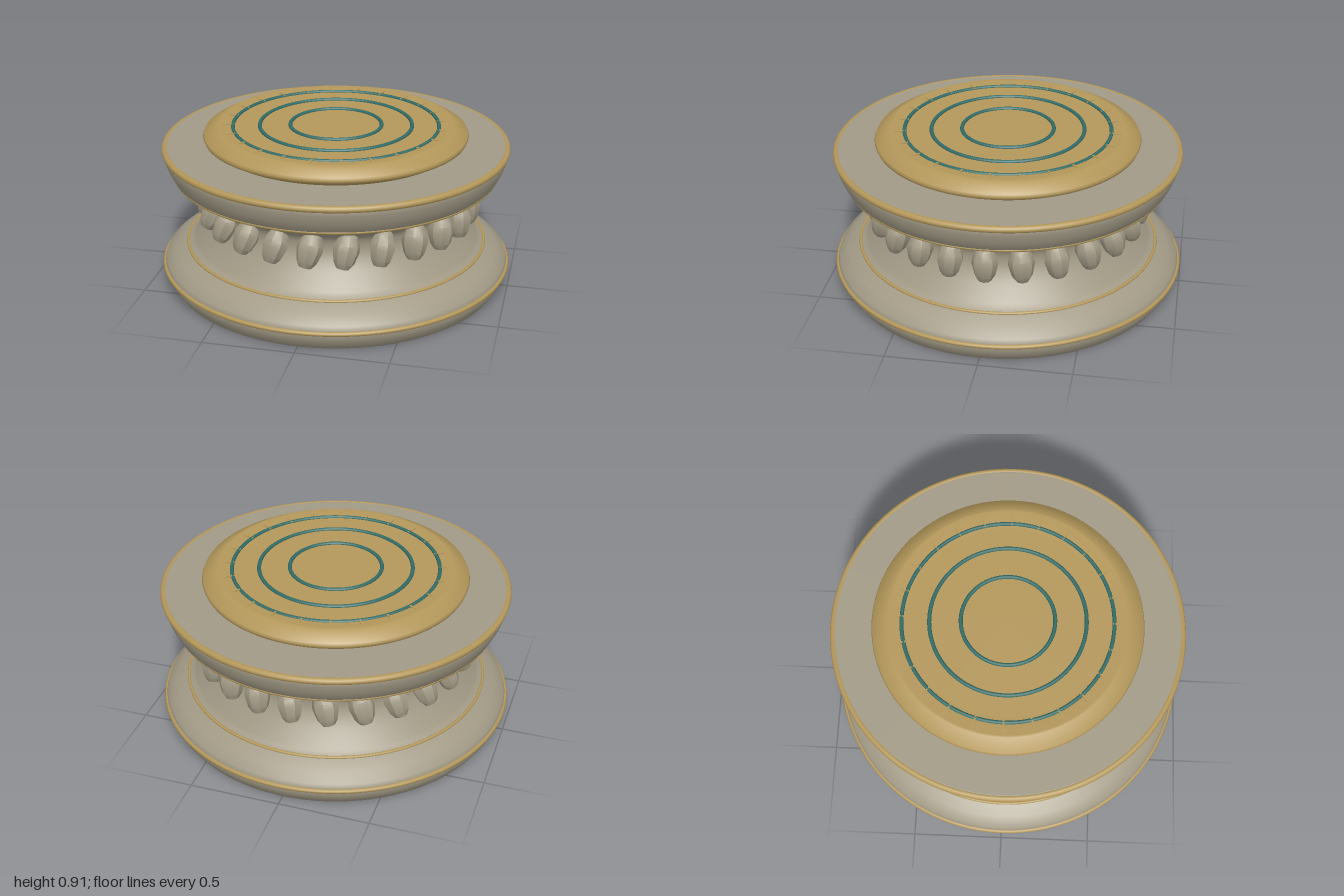
import * as THREE from 'three';
import { toCreasedNormals } from 'three/addons/utils/BufferGeometryUtils.js';

const stone = new THREE.MeshStandardMaterial({ color: 0xa29a86 });
const gold = new THREE.MeshStandardMaterial({ color: 0xb3975a });
const teal = new THREE.MeshStandardMaterial({ color: 0x336b66 });

function lathe(points, segments = 96, crease = 1) {
  const profile = points.map(([r, y]) => new THREE.Vector2(r, y));
  return toCreasedNormals(new THREE.LatheGeometry(profile, segments), crease);
}

export function createModel() {
  const model = new THREE.Group();
  model.name = 'roundPedestal';

  function add(name, geometry, material, parent = model) {
    const mesh = new THREE.Mesh(geometry, material);
    mesh.name = name;
    parent.add(mesh);
    return mesh;
  }

  function ring(name, radius, y, tube, material) {
    const mesh = add(name, new THREE.TorusGeometry(radius, tube, 10, 96), material);
    mesh.rotation.x = Math.PI / 2;
    mesh.position.y = y;
  }

  // Stone body: foot, concave waist and flared upper lip
  const waist = new THREE.SplineCurve([
    [0.82, 0.245], [0.77, 0.31], [0.725, 0.38], [0.7, 0.45], [0.71, 0.52], [0.77, 0.575], [0.87, 0.637],
  ].map(([r, y]) => new THREE.Vector2(r, y))).getPoints(20).map((p) => [p.x, p.y]);
  add('stoneBody', lathe([
    [0, 0], [0.92, 0], [0.937, 0.003], [0.965, 0.045], [0.982, 0.08], [0.985, 0.12], [0.975, 0.15],
    [0.92, 0.19], [0.85, 0.232], ...waist,
    [0.9, 0.64], [0.92, 0.66], [0.945, 0.71], [0.962, 0.76], [0.965, 0.8], [0.955, 0.812],
    [0.94, 0.812], [0, 0.812],
  ]), stone);

  // Gold trim around the body
  ring('footTrim', 0.985, 0.113, 0.013, gold);
  ring('lowerWaistTrim', 0.85, 0.231, 0.009, gold);
  ring('upperWaistTrim', 0.902, 0.647, 0.011, gold);
  ring('lipTrim', 0.955, 0.796, 0.019, gold);

  // Gold top disc: bevelled rim around a shallow dished floor
  add('topDisc', lathe([
    [0, 0.81], [0.68, 0.81], [0.69, 0.82], [0.735, 0.842], [0.741, 0.857], [0.735, 0.872],
    [0.66, 0.913], [0.648, 0.914], [0.56, 0.9], [0.54, 0.9], [0, 0.9],
  ]), gold);

  // Inlaid teal circles
  [0.255, 0.425, 0.575].forEach((r, i) => ring(`inlayRing${i + 1}`, r, 0.902, 0.011, teal));

  // Buds curl inward and all lean one way; ticks radiate on the dished floor
  const buds = new THREE.Group();
  buds.name = 'waistBuds';
  const ticks = new THREE.Group();
  ticks.name = 'discTicks';
  model.add(buds, ticks);
  const budGeometry = lathe([
    [0, 0], [0.035, 0.004], [0.055, 0.035], [0.071, 0.1], [0.067, 0.135], [0.048, 0.18],
    [0.018, 0.21], [0, 0.218],
  ], 8, 0.75);
  budGeometry.rotateZ(0.28);
  const tickGeometry = new THREE.BoxGeometry(0.07, 0.012, 0.01);
  for (let i = 0; i < 24; i++) {
    const a = (i / 24) * Math.PI * 2;
    const bud = add('bud', budGeometry, stone, buds);
    bud.position.set(Math.cos(a) * 0.76, 0.372, Math.sin(a) * 0.76);
    bud.rotation.set(0, -a, -0.22, 'ZYX');
    const tick = add('tick', tickGeometry, gold, ticks);
    tick.position.set(Math.cos(a) * 0.6, 0.906, Math.sin(a) * 0.6);
    tick.rotation.y = -a;
  }
  return model;
}
